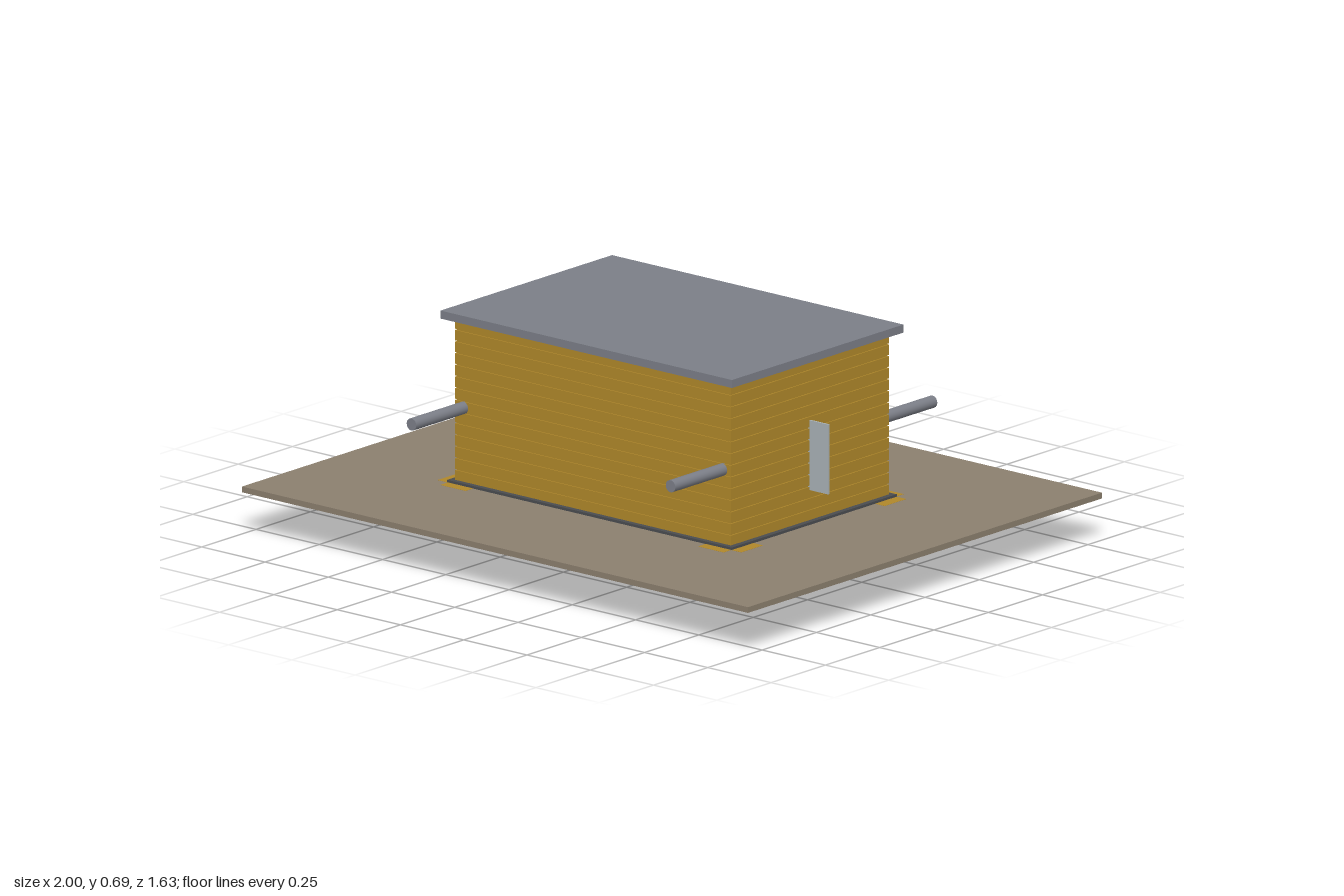
import * as THREE from 'three';

const paint = (color) => new THREE.MeshStandardMaterial({ color });
const ochre = paint(0xaf872a);
const steel = paint(0x7b7e87);
const concrete = paint(0x949498);
const dark = paint(0x4a4c50);
const earth = paint(0x8b7f6e);
const pale = paint(0xa9b2b6);

export function createModel() {
  const model = new THREE.Group();

  // Box given by its lower and upper corner
  const box = (name, mat, x0, y0, z0, x1, y1, z1) => {
    const mesh = new THREE.Mesh(new THREE.BoxGeometry(x1 - x0, y1 - y0, z1 - z0), mat);
    mesh.position.set((x0 + x1) / 2, (y0 + y1) / 2, (z0 + z1) / 2);
    mesh.name = name;
    model.add(mesh);
    return mesh;
  };
  // Box centred on the vertical axis, given by half width and half depth
  const block = (name, mat, hx, hz, y0, y1) => box(name, mat, -hx, y0, -hz, hx, y1, hz);

  // Ground plate
  block('groundPlate', earth, 1, 0.815, 0.13, 0.148);

  // Stepped foundation below the ground
  block('foundationLower', concrete, 0.59, 0.405, 0.002, 0.065);
  block('foundationUpper', steel, 0.575, 0.39, 0.065, 0.11);
  block('foundationCap', ochre, 0.59, 0.405, 0.11, 0.13);

  // Underside: a frame round a grey floor panel
  const frame = 0.004;
  for (const s of [-1, 1]) {
    const z = [s * 0.28, s * 0.406].sort((a, b) => a - b);
    const x = [s * 0.45, s * 0.591].sort((a, b) => a - b);
    box('footingLong', ochre, -0.591, 0, z[0], 0.591, frame, z[1]);
    box('footingShort', ochre, x[0], 0, -0.28, x[1], frame, 0.28);
  }
  block('floorPanel', steel, 0.45, 0.28, 0.001, 0.01);

  // Two piers at each corner, leaving the corner itself notched
  for (const sx of [-1, 1]) {
    for (const sz of [-1, 1]) {
      const front = box('cornerPierFacing', ochre, 0.46, 0, 0.36, 0.56, 0.1485, 0.415);
      const side = box('cornerPierSide', ochre, 0.54, 0, 0.28, 0.6, 0.1485, 0.38);
      for (const pier of [front, side]) {
        pier.position.x *= sx;
        pier.position.z *= sz;
      }
    }
  }

  // Sill and walls made of equal board courses with narrow grooves
  block('sill', dark, 0.562, 0.38, 0.148, 0.156);
  block('wallCore', ochre, 0.541, 0.36, 0.15, 0.66);
  const courses = 14;
  const pitch = 0.51 / courses;
  for (let i = 0; i < courses; i++) {
    const y = 0.15 + i * pitch;
    block('wallBoard', ochre, 0.545, 0.364, y + 0.004, y + pitch);
  }

  // Roof slab
  block('roof', steel, 0.576, 0.395, 0.66, 0.685);

  // Pale door slats in the back wall
  for (const [y0, y1] of [[0.157, 0.255], [0.295, 0.325], [0.46, 0.495]]) {
    box('doorSlat', pale, -0.09, y0, -0.3655, 0.09, y1, -0.36);
  }

  // Open hatch leaf standing out from the left wall
  box('hatchLeaf', pale, 0.54, 0.25, -0.003, 0.62, 0.468, 0.003);

  // Carrying pipes running from front to back
  for (const s of [-1, 1]) {
    const pipe = new THREE.Mesh(new THREE.CylinderGeometry(0.019, 0.019, 1.206, 20), steel);
    pipe.rotation.x = Math.PI / 2;
    pipe.position.set(s * 0.512, 0.387, 0);
    pipe.name = 'pipe';
    model.add(pipe);
  }

  return model;
}
